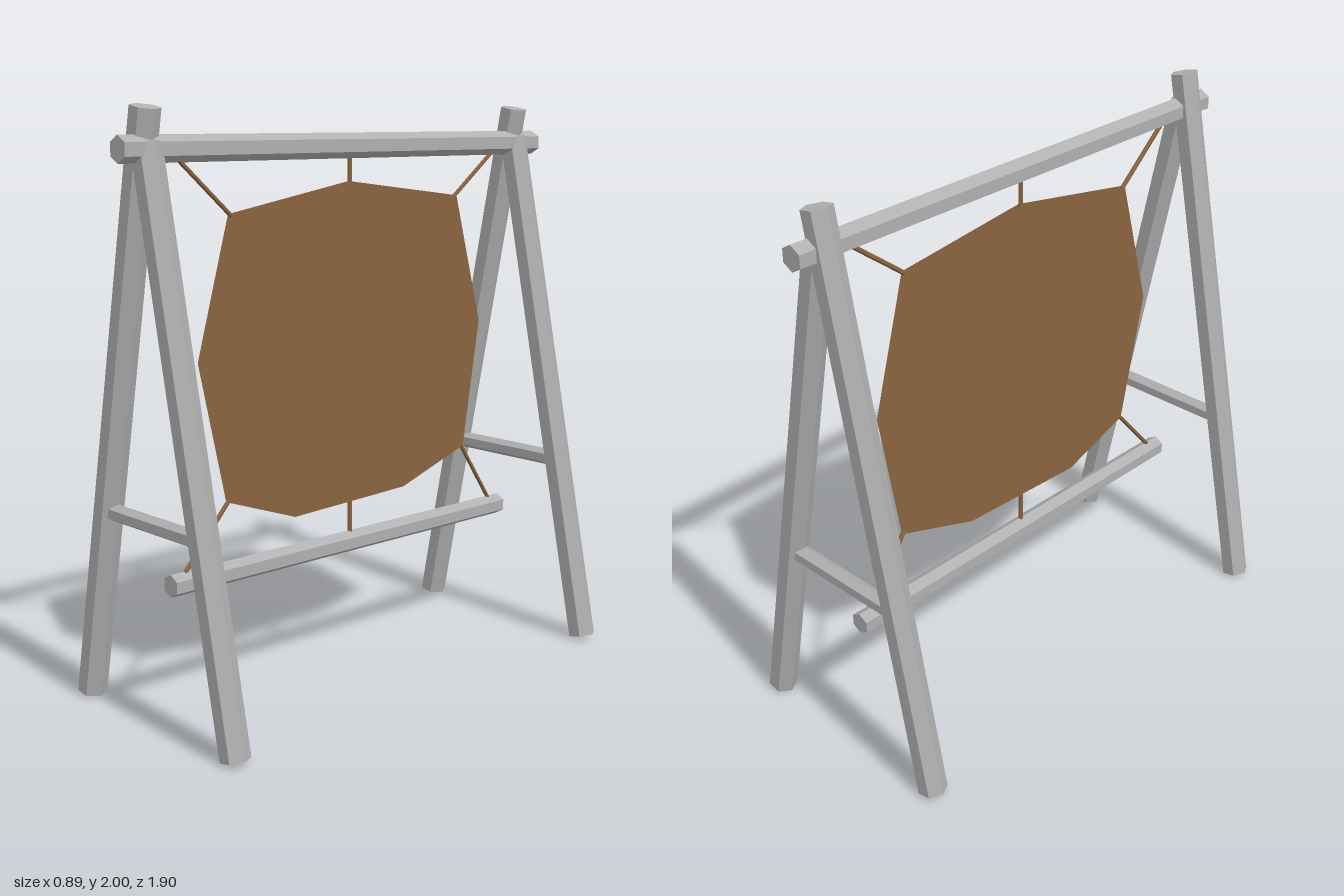
import * as THREE from 'three';

export function createModel() {
  const model = new THREE.Group();
  model.name = 'hideStretchingFrame';

  const wood = new THREE.MeshStandardMaterial({ color: 0xb0b0b0 });
  wood.name = 'greyWood';
  const leather = new THREE.MeshStandardMaterial({ color: 0x8a6340, side: THREE.DoubleSide });
  leather.name = 'brownHide';

  const UP = new THREE.Vector3(0, 1, 0);

  // Six-sided pole from a to b with flat faces; roll turns it about its own axis
  function pole(name, a, b, radius, material, roll = 0) {
    const start = new THREE.Vector3(...a);
    const end = new THREE.Vector3(...b);
    const dir = end.clone().sub(start);
    const geometry = new THREE.CylinderGeometry(radius, radius, dir.length(), 6).rotateY(roll).toNonIndexed();
    geometry.computeVertexNormals();
    const mesh = new THREE.Mesh(geometry, material);
    mesh.name = name;
    mesh.quaternion.setFromUnitVectors(UP, dir.normalize());
    mesh.position.copy(start).add(end).multiplyScalar(0.5);
    model.add(mesh);
  }

  // A-frames at both ends: one long leg, one shorter leg, one brace
  for (const [end, z] of [['front', 0.845], ['back', -0.845]]) {
    pole(end + 'LongLeg', [-0.395, 0.01, z], [0, 1.99, z], 0.05, wood, Math.PI / 2);
    pole(end + 'ShortLeg', [0.395, 0.01, z], [0, 1.88, z], 0.05, wood, Math.PI / 2);
    pole(end + 'Brace', [-0.25, 0.675, z], [0.25, 0.675, z], 0.031, wood, Math.PI / 2);
  }

  // Ridge pole and hanging lower pole
  pole('ridgePole', [0, 1.862, -0.95], [0, 1.862, 0.95], 0.0436, wood);
  pole('lowerPole', [0, 0.462, -0.79], [0, 0.462, 0.79], 0.039, wood);

  // Cords from the poles to the edge of the hide, as [z, y] pairs
  const cords = [
    [[0.74, 1.84], [0.52, 1.645]],
    [[0, 1.84], [0, 1.73]],
    [[-0.74, 1.84], [-0.52, 1.67]],
    [[0.745, 0.48], [0.547, 0.705]],
    [[0, 0.48], [0, 0.62]],
    [[-0.745, 0.48], [-0.575, 0.73]],
  ];
  cords.forEach(([[z1, y1], [z2, y2]], i) =>
    pole('cord' + (i + 1), [0, y1, z1], [0, y2, z2], 0.008, leather));

  // Stretched hide: two parallel sheets with an open rim, outline as [z, y]
  const outline = [
    [0.525, 1.65], [0.657, 1.178], [0.55, 0.7], [0.265, 0.6], [-0.26, 0.62],
    [-0.577, 0.727], [-0.657, 1.2], [-0.525, 1.675], [0, 1.74],
  ];
  const shape = new THREE.Shape(outline.map(([z, y]) => new THREE.Vector2(-z, y)));
  for (const side of [1, -1]) {
    const sheet = new THREE.Mesh(new THREE.ShapeGeometry(shape).rotateY(Math.PI / 2), leather);
    if (side < 0) {
      // Turn the far sheet to face outward, keeping its outline
      const index = sheet.geometry.index.array;
      index.reverse();
      const normal = sheet.geometry.attributes.normal;
      for (let i = 0; i < normal.count; i++) normal.setXYZ(i, -1, 0, 0);
    }
    sheet.name = side > 0 ? 'leftHideSheet' : 'rightHideSheet';
    sheet.position.x = side * 0.01;
    model.add(sheet);
  }

  return model;
}
